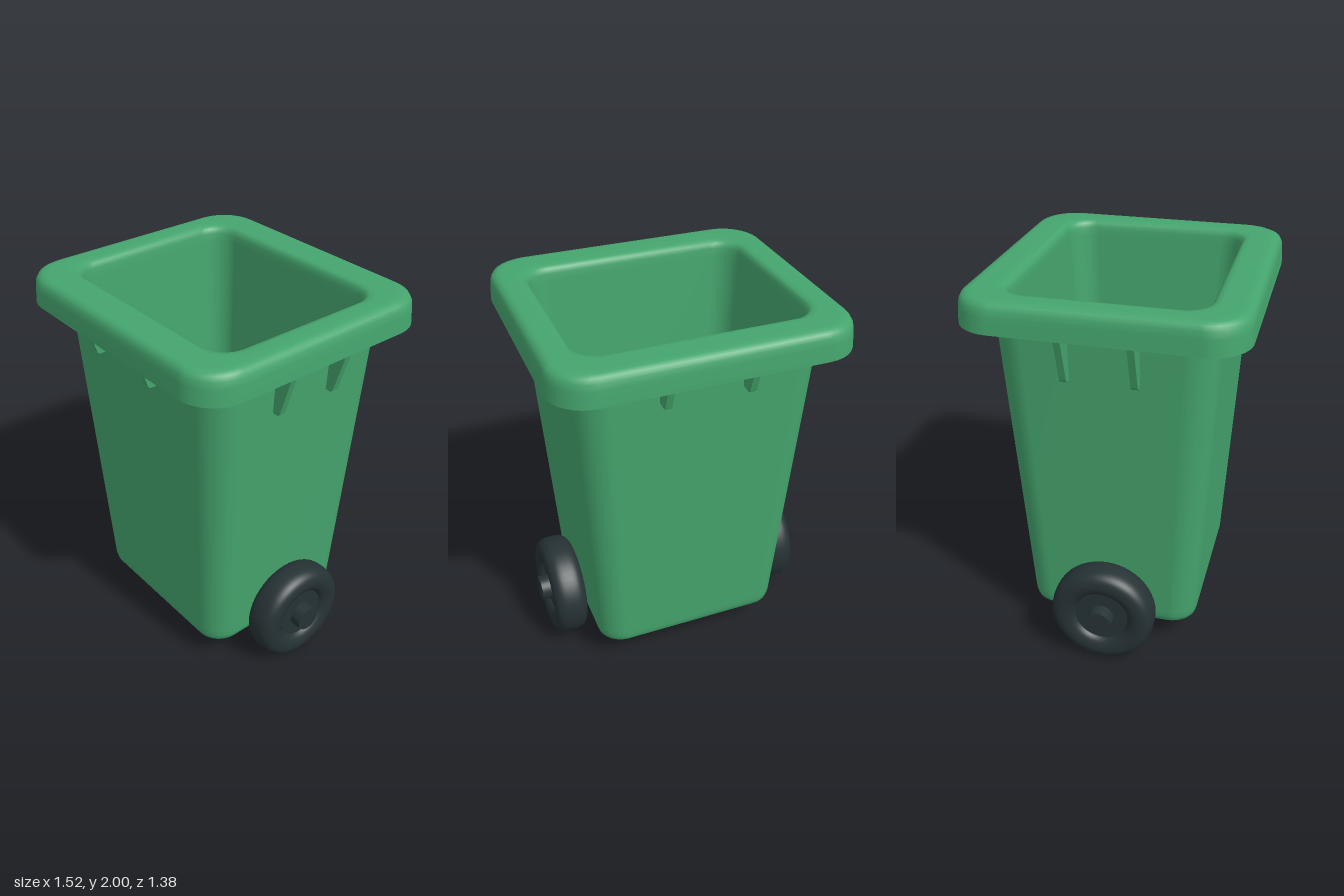
import * as THREE from 'three';

// Points of a rounded rectangle, counterclockwise seen from above
function ring([hx, hz, r, y], n = 8) {
  const pts = [];
  const corners = [[1, -1], [-1, -1], [-1, 1], [1, 1]];
  corners.forEach(([sx, sz], k) => {
    for (let i = 0; i <= n; i++) {
      const a = (k + i / n) * Math.PI / 2;
      pts.push(sx * (hx - r) + r * Math.cos(a), y, sz * (hz - r) - r * Math.sin(a));
    }
  });
  return pts;
}

// Skin a stack of rounded rectangles; a repeated section makes a sharp edge
function loft(sections) {
  const pos = [], idx = [];
  sections.forEach(s => pos.push(...ring(s)));
  const m = pos.length / 3 / sections.length;
  for (let i = 0; i < sections.length - 1; i++) {
    if (sections[i].join() === sections[i + 1].join()) continue;
    for (let j = 0; j < m; j++) {
      const k = (j + 1) % m;
      const a = i * m + j, b = i * m + k, c = b + m, d = a + m;
      idx.push(a, b, c, a, c, d);
    }
  }
  const g = new THREE.BufferGeometry();
  g.setAttribute('position', new THREE.Float32BufferAttribute(pos, 3));
  g.setIndex(idx);
  g.computeVertexNormals();
  return g;
}

export function createModel() {
  const group = new THREE.Group();
  const green = new THREE.MeshStandardMaterial({ color: 0x45a56e });
  green.name = 'green plastic';
  const dark = new THREE.MeshStandardMaterial({ color: 0x263235 });
  dark.name = 'dark rubber';
  const add = (parent, name, geo, mat) => {
    const mesh = new THREE.Mesh(geo, mat);
    mesh.name = name;
    parent.add(mesh);
    return mesh;
  };

  // Tapered shell, overhanging rim and hollow inside: [half x, half z, corner radius, y]
  add(group, 'binBody', loft([
    [0, 0, 0, 0.14],
    [0.45, 0.39, 0.1, 0.14],
    [0.47, 0.41, 0.11, 0.14],
    [0.495, 0.435, 0.12, 0.148],
    [0.513, 0.451, 0.13, 0.166],
    [0.521, 0.458, 0.135, 0.195],
    [0.523, 0.46, 0.135, 0.23],
    [0.63, 0.545, 0.16, 1.85],
    [0.63, 0.545, 0.16, 1.85],
    [0.756, 0.69, 0.2, 1.85],
    [0.756, 0.69, 0.2, 1.85],
    [0.752, 0.686, 0.2, 1.93],
    [0.747, 0.681, 0.197, 1.965],
    [0.735, 0.669, 0.19, 1.987],
    [0.715, 0.649, 0.18, 1.998],
    [0.69, 0.624, 0.17, 2],
    [0.63, 0.525, 0.15, 2],
    [0.605, 0.5, 0.14, 1.996],
    [0.59, 0.485, 0.135, 1.984],
    [0.583, 0.478, 0.13, 1.96],
    [0.58, 0.475, 0.13, 1.92],
    [0.482, 0.382, 0.1, 0.26],
    [0.478, 0.378, 0.095, 0.225],
    [0.465, 0.365, 0.085, 0.205],
    [0.44, 0.34, 0.07, 0.2],
    [0, 0, 0, 0.2],
  ]), green);

  // Gusset ribs under the rim; profile is [distance outward, y]
  const rib = (profile, angle, offset, name) => {
    const shape = new THREE.Shape(profile.map(p => new THREE.Vector2(...p)));
    const geo = new THREE.ExtrudeGeometry(shape, { depth: 0.034, bevelEnabled: false });
    geo.translate(0, 0, offset - 0.017);
    geo.rotateY(angle);
    add(group, name, geo, green);
  };
  const sideRib = [[0.58, 1.61], [0.645, 1.605], [0.66, 1.62], [0.735, 1.86], [0.58, 1.86]];
  const endRib = [[0.5, 1.72], [0.595, 1.715], [0.607, 1.725], [0.65, 1.86], [0.5, 1.86]];
  for (const s of [-0.17, 0.17]) {
    rib(sideRib, 0, s, 'leftRib');
    rib(sideRib, Math.PI, s, 'rightRib');
  }
  for (const s of [-0.21, 0.21]) {
    rib(endRib, -Math.PI / 2, s, 'frontRib');
    rib(endRib, Math.PI / 2, s, 'backRib');
  }

  // Wheels: lathed tyre and stepped hub, turned onto the x axis
  const tyre = new THREE.SplineCurve([
    [0.13, -0.06], [0.15, -0.078], [0.2, -0.092], [0.245, -0.082], [0.27, -0.05],
    [0.276, 0], [0.27, 0.05], [0.245, 0.082], [0.2, 0.092], [0.155, 0.075], [0.135, 0.04],
  ].map(p => new THREE.Vector2(...p))).getPoints(40);
  for (const s of [1, -1]) {
    const wheel = new THREE.Group();
    wheel.name = s > 0 ? 'leftWheel' : 'rightWheel';
    wheel.position.set(s * 0.635, 0.276, 0);
    wheel.rotation.z = -s * Math.PI / 2;
    add(wheel, 'tyre', new THREE.LatheGeometry(tyre, 48), dark);
    add(wheel, 'hubDisc', new THREE.CylinderGeometry(0.14, 0.14, 0.12, 40), dark);
    add(wheel, 'hubCap', new THREE.CylinderGeometry(0.068, 0.074, 0.123, 32), dark)
      .position.y = 0.0615;
    group.add(wheel);
  }

  // Axle stubs running into the shell
  for (const s of [1, -1]) {
    const axle = add(group, 'axle', new THREE.CylinderGeometry(0.075, 0.075, 0.1, 32), dark);
    axle.rotation.z = Math.PI / 2;
    axle.position.set(s * 0.545, 0.276, 0);
  }
  return group;
}
